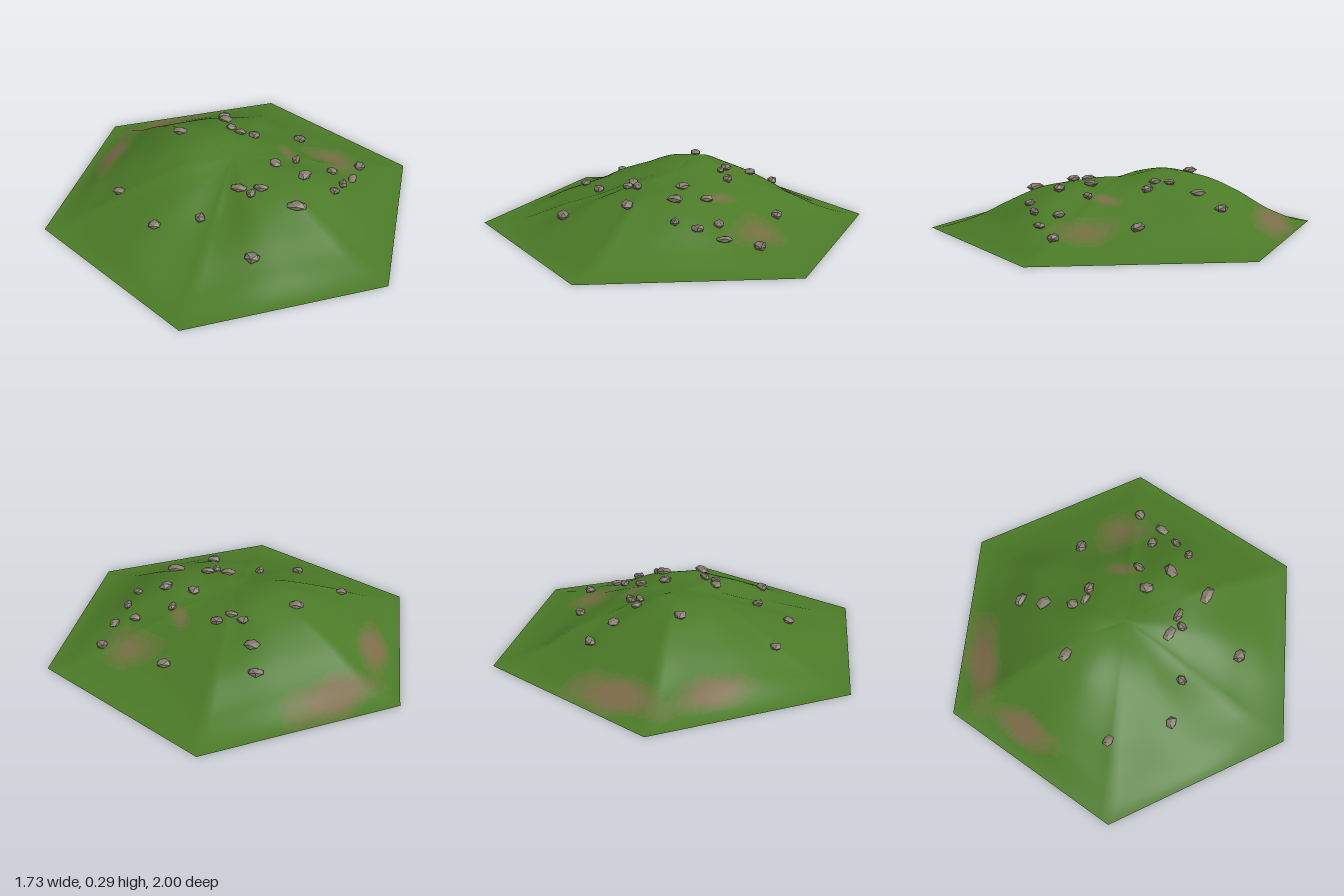
import * as THREE from 'three';

const RAYS = 144, RINGS = 44;
const TOP = 0.255;

// Hill heights: one row per 30 degrees from +x towards +z, at 20/40/60/80 % of the way to the rim
const HEIGHTS = [
  [0.235, 0.215, 0.160, 0.060], [0.235, 0.215, 0.135, 0.045],
  [0.235, 0.200, 0.145, 0.065], [0.215, 0.145, 0.085, 0.020],
  [0.235, 0.185, 0.130, 0.065], [0.265, 0.210, 0.130, 0.045],
  [0.285, 0.260, 0.185, 0.090], [0.290, 0.260, 0.175, 0.060],
  [0.280, 0.245, 0.175, 0.075], [0.250, 0.190, 0.130, 0.042],
  [0.235, 0.175, 0.100, 0.040], [0.225, 0.165, 0.085, 0.040],
];

// Bare earth: x, z, half length, half width, yaw, strength
const EARTH = [
  [-0.55, -0.55, 0.34, 0.13, -0.72, 0.9], [-0.72, -0.14, 0.10, 0.26, 0, 0.9],
  [0.47, -0.36, 0.22, 0.17, 0.5, 0.6], [0.25, -0.2, 0.06, 0.12, -0.5, 0.7],
];

// Rocks: x, z, length, width, yaw
const ROCKS = [
  [-0.19, -0.55, 0.085, 0.055, 0.1], [0.27, -0.49, 0.085, 0.06, 0.1], [-0.15, -0.42, 0.075, 0.065, -0.3],
  [0.63, -0.34, 0.07, 0.065, 0.5], [-0.08, -0.28, 0.06, 0.06, -0.7], [-0.02, -0.24, 0.07, 0.04, 0],
  [0.05, -0.27, 0.08, 0.055, 0.2], [-0.33, -0.14, 0.075, 0.06, 0], [0.31, -0.13, 0.075, 0.045, 1.5],
  [0.50, -0.17, 0.07, 0.055, 0], [0.61, -0.18, 0.075, 0.05, 1.5], [0.57, -0.06, 0.075, 0.045, 1.5],
  [0.22, -0.02, 0.075, 0.065, -1], [0.38, 0.03, 0.085, 0.065, 1.2], [0.54, 0.04, 0.065, 0.045, 0],
  [0.08, 0.22, 0.08, 0.055, 0], [0.15, 0.25, 0.065, 0.05, 1.4], [0.19, 0.20, 0.085, 0.045, 0.1],
  [0.38, 0.26, 0.1, 0.065, 0.1], [-0.07, 0.40, 0.07, 0.055, 1.5], [-0.54, 0.27, 0.06, 0.055, 0],
  [-0.28, 0.48, 0.07, 0.06, 0.2], [0.23, 0.57, 0.09, 0.065, 0],
];

const cubic = (a, b, c, d, f) =>
  b + 0.5 * f * (c - a + f * (2 * a - 5 * b + 4 * c - d + f * (3 * (b - c) + d - a)));

// Distance from the centre to the hexagon's rim
function rim(angle) {
  const step = Math.PI / 3;
  return Math.cos(Math.PI / 6) / Math.cos(angle - Math.round(angle / step) * step);
}

function heightAt(x, z) {
  const angle = Math.atan2(z, x);
  const t = Math.min(1, Math.hypot(x, z) / rim(angle));
  const u = ((angle / (Math.PI / 6)) + 12) % 12, i = Math.floor(u);
  const across = k => {
    if (k === 0) return TOP;
    if (k === 5) return 0;
    if (k === 6) k = 4; // levels out at the rim
    const at = n => HEIGHTS[(i + n + 12) % 12][k - 1];
    return cubic(at(-1), at(0), at(1), at(2), u - i);
  };
  const ring = Math.min(4, Math.floor(t * 5)), f = t * 5 - ring;
  // The centre row continues through to the opposite side
  const opposite = HEIGHTS[(i + 6) % 12][0] * (1 - u + i) + HEIGHTS[(i + 7) % 12][0] * (u - i);
  const before = ring === 0 ? opposite : across(ring - 1);
  const h = cubic(before, across(ring), across(ring + 1), across(ring + 2), f);
  const bumps = 0.004 * Math.sin(15 * x + 4 * z) * Math.sin(13 * z - 5 * x) * (1 - t);
  return Math.max(0, h + bumps);
}

function earthAt(x, z) {
  let most = 0;
  for (const [cx, cz, a, b, yaw, strength] of EARTH) {
    const c = Math.cos(yaw), s = Math.sin(yaw), dx = x - cx, dz = z - cz;
    const d = Math.hypot((dx * c + dz * s) / a, (dz * c - dx * s) / b);
    const ragged = 0.12 * Math.sin(17 * x + 9 * z) * Math.cos(14 * z - 6 * x);
    most = Math.max(most, strength * (1 - d + ragged));
  }
  return most;
}

// Open hexagonal hill, its faces sorted into tones from grass to bare earth
function makeHill() {
  const hill = new THREE.Group();
  hill.name = 'hill';
  const positions = [0, heightAt(0, 0), 0];
  for (let r = 1; r <= RINGS; r++) {
    for (let j = 0; j < RAYS; j++) {
      const angle = j / RAYS * Math.PI * 2, d = rim(angle) * r / RINGS;
      const x = Math.cos(angle) * d, z = Math.sin(angle) * d;
      positions.push(x, r === RINGS ? 0 : heightAt(x, z), z);
    }
  }
  const id = (r, j) => r === 0 ? 0 : 1 + (r - 1) * RAYS + j % RAYS;
  const faces = [];
  for (let r = 0; r < RINGS; r++) {
    for (let j = 0; j < RAYS; j++) {
      faces.push([id(r, j), id(r + 1, j + 1), id(r + 1, j)]);
      if (r > 0) faces.push([id(r, j), id(r, j + 1), id(r + 1, j + 1)]);
    }
  }
  const whole = new THREE.BufferGeometry();
  whole.setAttribute('position', new THREE.Float32BufferAttribute(positions, 3));
  whole.setIndex(faces.flat());
  whole.computeVertexNormals();

  const names = ['grass', 'thinGrass', 'sparseGrass', 'wornGround', 'bareEarth'];
  const tones = names.map(() => []);
  for (const face of faces) {
    const mid = axis => face.reduce((sum, v) => sum + positions[v * 3 + axis], 0) / 3;
    const tone = Math.floor(earthAt(mid(0), mid(2)) * 7);
    tones[THREE.MathUtils.clamp(tone, 0, 4)].push(...face);
  }
  tones.forEach((index, k) => {
    const geometry = new THREE.BufferGeometry();
    geometry.setAttribute('position', whole.attributes.position);
    geometry.setAttribute('normal', whole.attributes.normal);
    geometry.setIndex(index);
    const color = new THREE.Color(0x4b7a27).lerp(new THREE.Color(0x7c6c48), k / 4);
    const mesh = new THREE.Mesh(geometry, new THREE.MeshStandardMaterial({ color, side: THREE.DoubleSide }));
    mesh.name = names[k];
    hill.add(mesh);
  });
  return hill;
}

// Faceted stone: a squashed icosahedron with its corners pushed in and out
function makeRock([x, z, length, width, yaw], seed, material) {
  const geometry = new THREE.IcosahedronGeometry(1, 0);
  const p = geometry.attributes.position, v = new THREE.Vector3();
  for (let i = 0; i < p.count; i++) {
    v.fromBufferAttribute(p, i);
    const push = Math.sin(v.x * 7.1 + v.y * 11.3 + v.z * 5.7 + seed * 2.4);
    v.multiplyScalar(1 + 0.14 * push);
    p.setXYZ(i, v.x * length / 2, v.y * (length + width) * 0.15, v.z * width / 2);
  }
  geometry.computeVertexNormals();
  const rock = new THREE.Mesh(geometry, material);
  rock.position.set(x, heightAt(x, z) + 0.012, z);
  rock.rotation.y = yaw;
  rock.name = 'rock';
  return rock;
}

export function createModel() {
  const model = new THREE.Group();
  model.name = 'rockyHill';
  model.add(makeHill());
  const stone = new THREE.MeshStandardMaterial({ color: 0x857a6e, flatShading: true });
  const rocks = new THREE.Group();
  rocks.name = 'rocks';
  ROCKS.forEach((spec, i) => rocks.add(makeRock(spec, i, stone)));
  model.add(rocks);
  return model;
}
